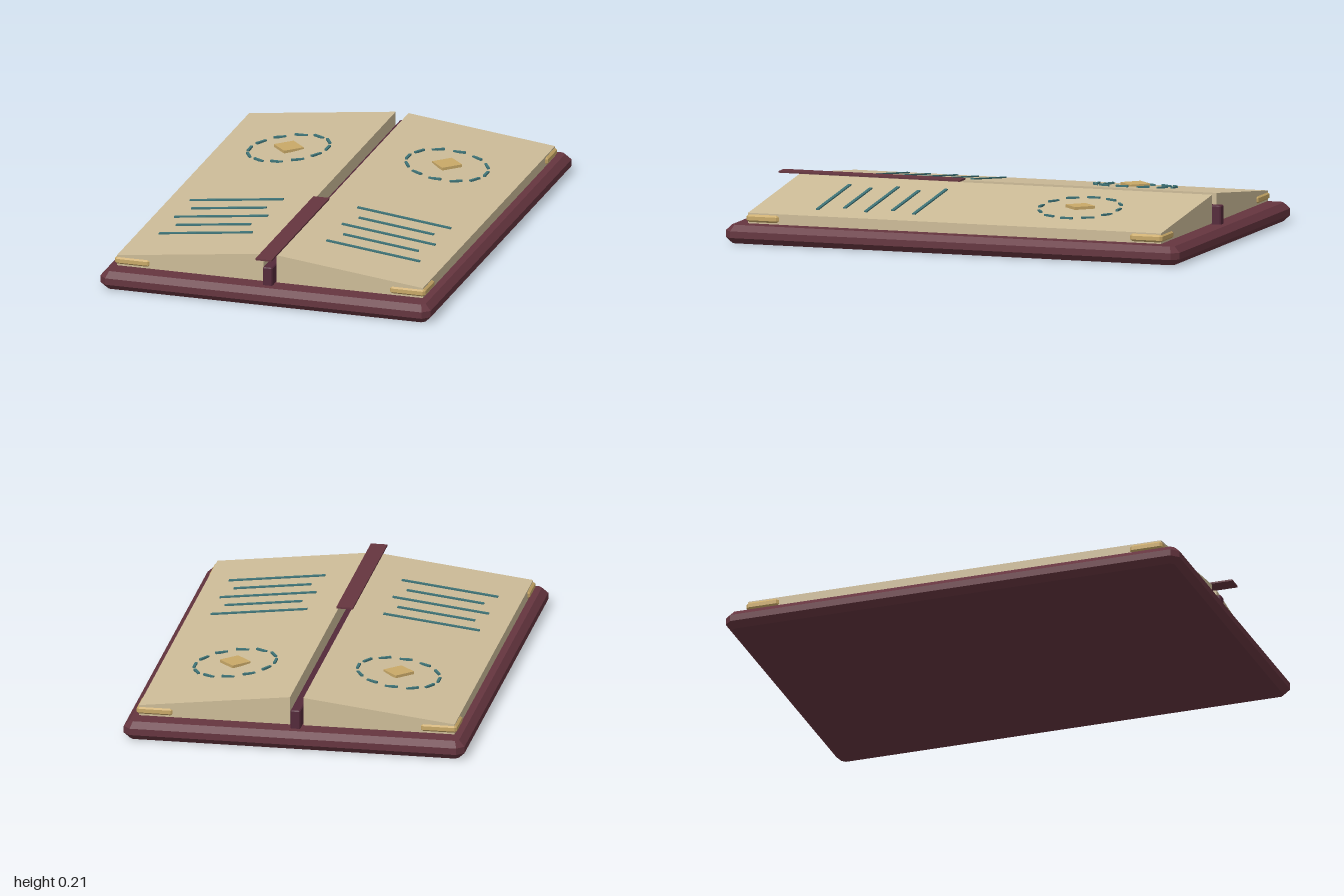
import * as THREE from 'three';

const mat = (name, color) => Object.assign(new THREE.MeshStandardMaterial({ color }), { name });

// Box with every edge chamfered by c, centred on the origin
function chamferBox(w, h, d, c) {
  const x = w / 2 - c, z = d / 2 - c, k = c * 0.6;
  const shape = new THREE.Shape([
    [x, -z + k], [x, z - k], [x - k, z], [-x + k, z],
    [-x, z - k], [-x, -z + k], [-x + k, -z], [x - k, -z],
  ].map(p => new THREE.Vector2(...p)));
  const g = new THREE.ExtrudeGeometry(shape, {
    depth: h - 2 * c, bevelEnabled: true, bevelThickness: c, bevelSize: c, bevelSegments: 1,
  });
  g.translate(0, 0, -(h / 2 - c));
  return g.rotateX(-Math.PI / 2);
}

export function createModel() {
  const model = new THREE.Group();
  model.name = 'openBook';

  const leather = mat('leather', 0x65353f);
  const darkLeather = mat('darkLeather', 0x54293a);
  const paper = mat('paper', 0xcdbc98);
  const brass = mat('brass', 0xc9a968);
  const ink = mat('ink', 0x3f7478);

  const add = (parent, name, geometry, material, x = 0, y = 0, z = 0) => {
    const mesh = new THREE.Mesh(geometry, material);
    mesh.name = name;
    mesh.position.set(x, y, z);
    parent.add(mesh);
    return mesh;
  };

  // Cover, spine ridge and ribbon bookmark
  add(model, 'cover', chamferBox(1.44, 0.078, 2, 0.025), leather, 0, 0.039, 0);
  add(model, 'spine', chamferBox(0.042, 0.085, 1.89, 0.004), darkLeather, 0, 0.114, 0);
  add(model, 'bookmark', new THREE.BoxGeometry(0.07, 0.007, 0.8), leather, 0, 0.2085, 0.6);

  // Sloping page surface
  const inner = 0.028, outer = 0.667, topIn = 0.203, topOut = 0.127;
  const slope = (topOut - topIn) / (outer - inner);
  const pageY = x => topIn + (x - inner) * slope;

  for (const side of [1, -1]) {
    const half = new THREE.Group();
    half.name = side > 0 ? 'leftHalf' : 'rightHalf';
    model.add(half);

    // Wedge-shaped page block
    const profile = new THREE.Shape([
      [inner, 0.083], [outer, 0.083], [outer, topOut], [inner, topIn],
    ].map(([x, y]) => new THREE.Vector2(x * side, y)));
    const pages = new THREE.ExtrudeGeometry(profile, { depth: 1.82, bevelEnabled: false });
    add(half, 'pages', pages, paper, 0, 0, -0.91);

    // Brass corner guards
    for (const end of [1, -1]) {
      add(half, 'cornerGuard', chamferBox(0.155, 0.032, 0.143, 0.008), brass,
        side * 0.599, 0.105, end * 0.845);
    }

    // Written lines, tilted with the page
    for (let i = 0; i < 5; i++) {
      const length = i % 2 ? 0.33 : 0.41;
      const line = add(half, 'textLine', new THREE.BoxGeometry(length, 0.007, 0.014), ink,
        side * 0.365, pageY(0.365) + 0.002, 0.215 + i * 0.106);
      line.rotation.z = Math.atan(slope) * side;
    }

    // Dashed ring lying on the page
    const cx = 0.345, cz = -0.44, r = 0.17;
    for (let i = 0; i < 12; i++) {
      const a = i * Math.PI / 6;
      const x = cx + r * Math.cos(a);
      const dash = add(half, 'ringDash', new THREE.BoxGeometry(0.011, 0.008, 0.054), ink,
        side * x, pageY(x) + 0.004, cz + r * Math.sin(a));
      dash.rotation.y = -a * side;
    }

    // Diamond ornament at the ring's centre
    const diamond = add(half, 'diamond', new THREE.BoxGeometry(0.092, 0.012, 0.092), brass,
      side * cx, pageY(cx) + 0.009, cz);
    diamond.rotation.y = Math.PI / 4;
  }
  return model;
}
